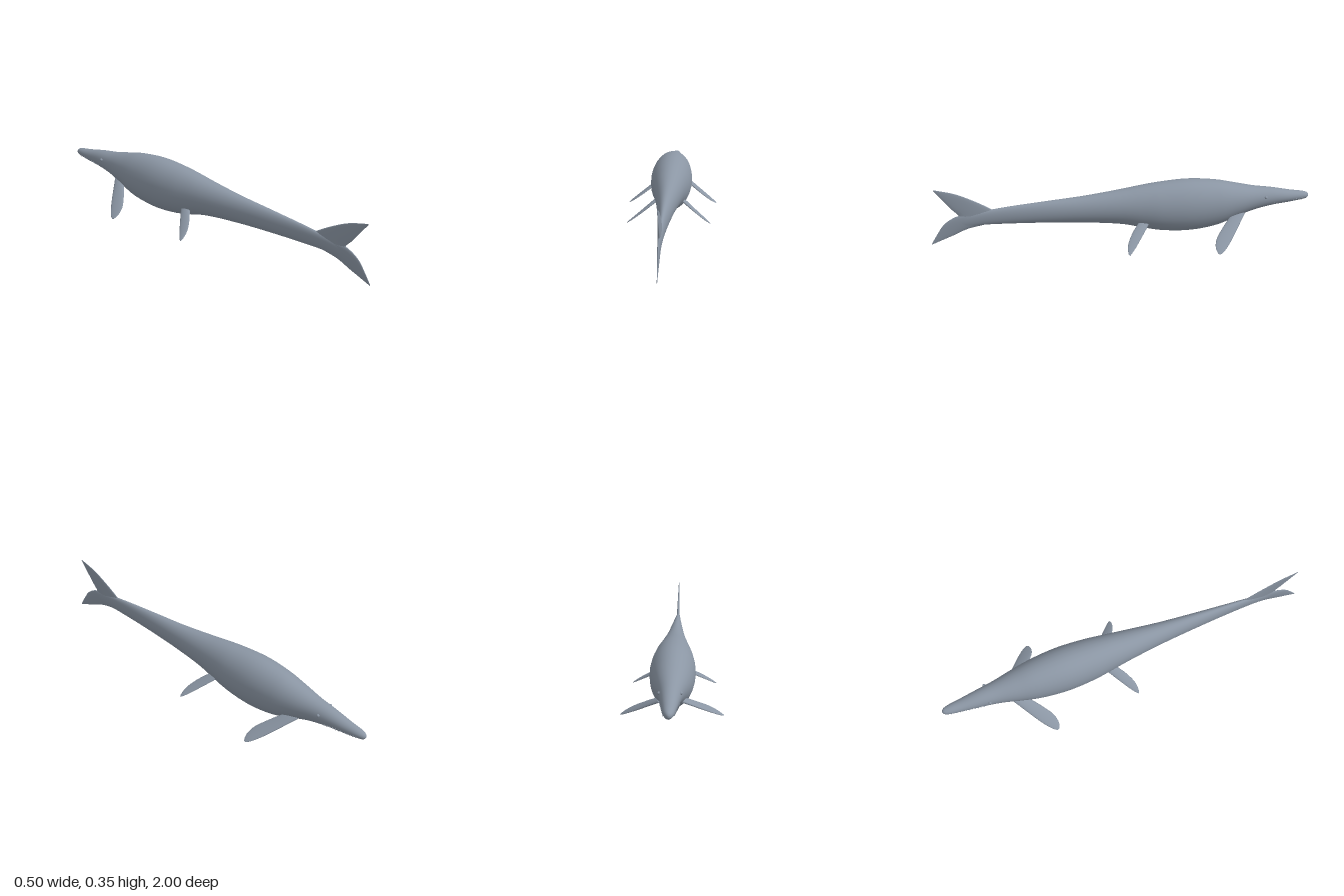
import * as THREE from 'three';

const skin = new THREE.MeshStandardMaterial({ color: 0x8b96a4 });
skin.name = 'slate grey skin';

// Smooth loft: each row is [edgeA xyz, edgeB xyz, half thickness]; sections are ellipses.
function loft(name, rows, steps, sides) {
  const a = rows.map(r => new THREE.Vector3(...r[0]));
  const b = rows.map(r => new THREE.Vector3(...r[1]));
  const w = rows.map((r, i) => new THREE.Vector3(r[2], 0, (a[i].z + b[i].z) / 2));
  const [ca, cb, cw] = [a, b, w].map(p => new THREE.CatmullRomCurve3(p));
  const mid = i => a[i].clone().add(b[i]);
  const dir = mid(rows.length - 1).sub(mid(0)).normalize();
  const pos = [], idx = [];
  for (let i = 0; i <= steps; i++) {
    const t = i / steps;
    const A = ca.getPoint(t), B = cb.getPoint(t);
    const c = A.clone().add(B).multiplyScalar(0.5);
    const u = B.sub(A).multiplyScalar(0.5);
    const v = dir.clone().cross(u).normalize().multiplyScalar(Math.max(cw.getPoint(t).x, 0.0005));
    for (let j = 0; j < sides; j++) {
      const k = j / sides * Math.PI * 2;
      const p = c.clone().addScaledVector(u, Math.cos(k)).addScaledVector(v, Math.sin(k));
      pos.push(p.x, p.y, p.z);
      if (i < steps) {
        const p0 = i * sides + j, p1 = i * sides + (j + 1) % sides;
        idx.push(p0, p1, p0 + sides, p1, p1 + sides, p0 + sides);
      }
    }
  }
  // end caps
  const last = steps * sides;
  for (let j = 1; j < sides - 1; j++) {
    idx.push(0, j + 1, j, last, last + j, last + j + 1);
  }
  const g = new THREE.BufferGeometry();
  g.setAttribute('position', new THREE.Float32BufferAttribute(pos, 3));
  g.setIndex(idx);
  g.computeVertexNormals();
  const mesh = new THREE.Mesh(g, skin);
  mesh.name = name;
  return mesh;
}

// Paddle lying in a drooping plane; rows are [leading x, z, trailing x, z, half thickness]
function flipper(name, side, slope, rows) {
  const point = (x, z) => [side * x, 0.112 - (x - 0.08) * slope, z];
  return loft(name, rows.map(r => [point(r[0], r[1]), point(r[2], r[3]), r[4]]), 20, 14);
}

export function createModel() {
  const model = new THREE.Group();
  model.name = 'marine reptile';

  // Body from snout to tail root: z, top, bottom, half width
  const body = [
    [-1, 0.188, 0.178, 0.004], [-0.992, 0.198, 0.168, 0.014], [-0.97, 0.205, 0.163, 0.023],
    [-0.9, 0.217, 0.153, 0.033], [-0.8, 0.238, 0.142, 0.046], [-0.7, 0.254, 0.122, 0.061],
    [-0.6, 0.277, 0.088, 0.083], [-0.5, 0.3, 0.05, 0.101], [-0.35, 0.315, 0.03, 0.113],
    [-0.2, 0.308, 0.04, 0.106], [-0.1, 0.297, 0.062, 0.093], [0, 0.282, 0.088, 0.079],
    [0.2, 0.259, 0.11, 0.054], [0.4, 0.244, 0.122, 0.036], [0.6, 0.227, 0.13, 0.021],
    [0.72, 0.212, 0.132, 0.014], [0.8, 0.197, 0.125, 0.01], [0.88, 0.18, 0.115, 0.005],
  ];
  model.add(loft('body', body.map(([z, t, b, w]) => [[0, t, z], [0, b, z], w]), 90, 28));

  // Tail fluke, upper and lower lobes
  model.add(loft('upperTailLobe', [
    [[0, 0.19, 0.64], [0, 0.16, 0.86], 0.008], [[0, 0.226, 0.69], [0, 0.19, 0.85], 0.007],
    [[0, 0.275, 0.77], [0, 0.235, 0.885], 0.005], [[0, 0.32, 0.86], [0, 0.29, 0.925], 0.003],
    [[0, 0.35, 0.963], [0, 0.346, 0.966], 0.001],
  ], 24, 14));
  model.add(loft('lowerTailLobe', [
    [[0, 0.205, 0.76], [0, 0.132, 0.72], 0.011], [[0, 0.19, 0.86], [0, 0.113, 0.81], 0.008],
    [[0, 0.15, 0.925], [0, 0.08, 0.885], 0.005], [[0, 0.095, 0.965], [0, 0.058, 0.94], 0.003],
    [[0, 0.037, 1], [0, 0.034, 0.997], 0.001],
  ], 24, 14));

  for (const side of [1, -1]) {
    const label = side > 0 ? 'left' : 'right';
    // Flippers
    model.add(flipper(label + 'FrontFlipper', side, 0.63, [
      [0.055, -0.645, 0.05, -0.585, 0.009], [0.085, -0.622, 0.075, -0.555, 0.009],
      [0.145, -0.578, 0.125, -0.508, 0.007], [0.205, -0.53, 0.18, -0.466, 0.005],
      [0.24, -0.495, 0.222, -0.456, 0.003], [0.252, -0.475, 0.247, -0.464, 0.001],
    ]));
    model.add(flipper(label + 'RearFlipper', side, 0.68, [
      [0.055, -0.145, 0.05, -0.09, 0.008], [0.085, -0.122, 0.075, -0.068, 0.008],
      [0.135, -0.083, 0.115, -0.035, 0.006], [0.185, -0.043, 0.165, -0.006, 0.004],
      [0.21, -0.02, 0.197, 0, 0.003], [0.221, -0.008, 0.216, -0.001, 0.001],
    ]));

    // Eye
    const eye = new THREE.Mesh(new THREE.SphereGeometry(0.008, 12, 8), skin);
    eye.name = label + 'Eye';
    eye.position.set(side * 0.05, 0.208, -0.755);
    model.add(eye);

    // Row of small teeth along the jaw
    const teeth = new THREE.Group();
    teeth.name = label + 'Teeth';
    for (let i = 0; i < 12; i++) {
      const t = i / 11;
      const tooth = new THREE.Mesh(new THREE.ConeGeometry(0.003, 0.011, 6), skin);
      tooth.name = 'tooth';
      tooth.rotation.x = Math.PI;
      tooth.position.set(side * (0.045 - 0.021 * t), 0.166 + 0.008 * t, -0.79 - 0.17 * t);
      teeth.add(tooth);
    }
    model.add(teeth);
  }
  return model;
}
